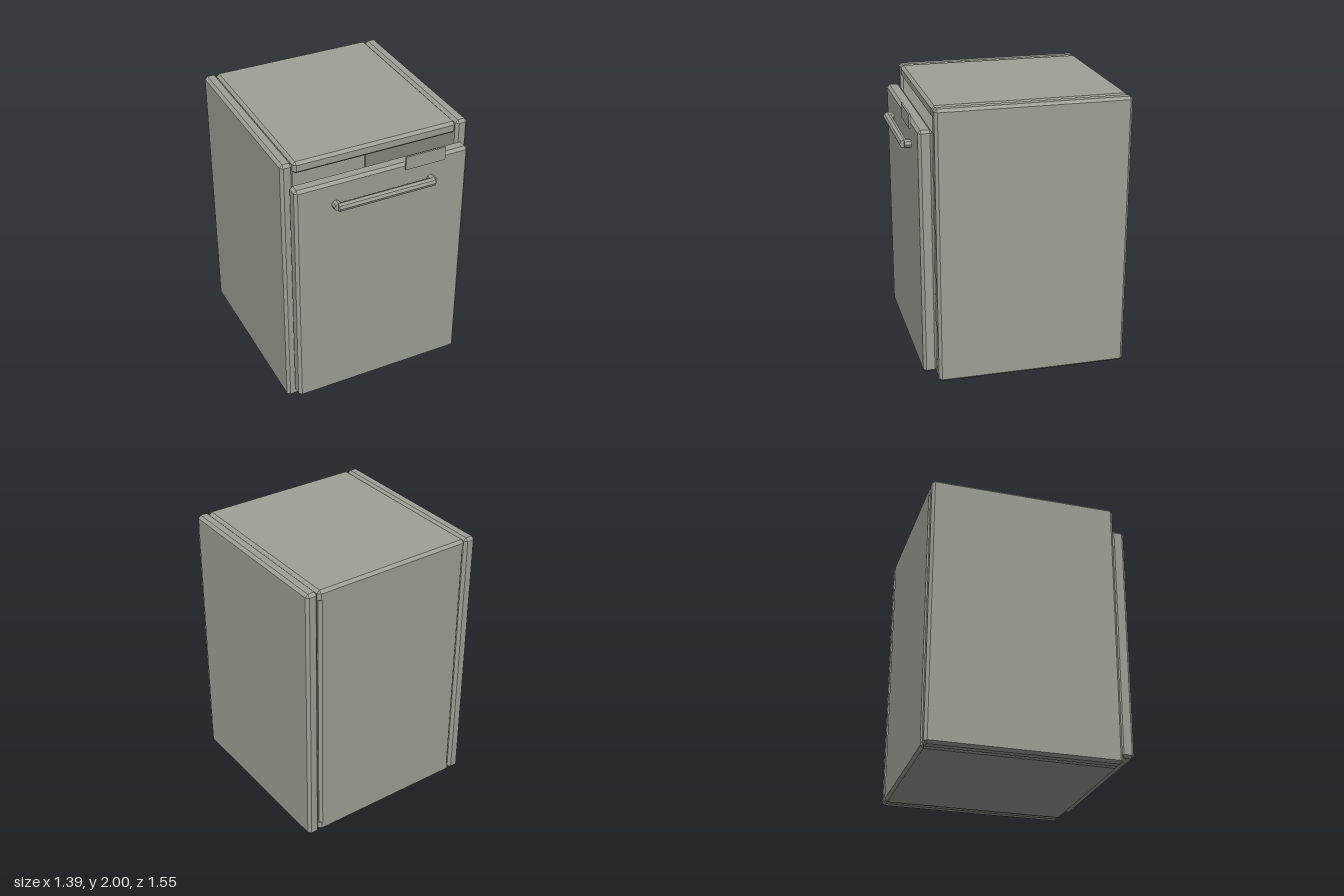
import * as THREE from 'three';
import { ConvexGeometry } from 'three/addons/geometries/ConvexGeometry.js';

// Box between two corners with every edge chamfered by c
function chamferBox(x0, x1, y0, y1, z0, z1, c = 0.02) {
  const h = [(x1 - x0) / 2, (y1 - y0) / 2, (z1 - z0) / 2];
  const pts = [];
  for (const sx of [-1, 1]) for (const sy of [-1, 1]) for (const sz of [-1, 1]) {
    for (let full = 0; full < 3; full++) {
      const p = [sx, sy, sz].map((s, i) => s * (i === full ? h[i] : h[i] - c));
      pts.push(new THREE.Vector3(...p));
    }
  }
  const geo = new ConvexGeometry(pts);
  geo.translate((x0 + x1) / 2, (y0 + y1) / 2, (z0 + z1) / 2);
  return geo;
}

export function createModel() {
  const model = new THREE.Group();
  model.name = 'cabinet';
  const paint = new THREE.MeshStandardMaterial({ color: 0x9ea196 });
  paint.name = 'grey green paint';
  const metal = paint.clone();
  metal.name = 'grey green metal';
  metal.flatShading = true;

  const add = (name, geo, mat = paint, parent = model) => {
    const mesh = new THREE.Mesh(geo, mat);
    mesh.name = name;
    parent.add(mesh);
    return mesh;
  };

  // Hollow carcass
  const back = -0.777, front = 0.597;
  add('leftSide', chamferBox(0.607, 0.697, 0, 2, back, front));
  add('rightSide', chamferBox(-0.697, -0.607, 0, 2, back, front));
  add('topPanel', chamferBox(-0.607, 0.607, 1.912, 2, back, front));
  add('bottomPanel', chamferBox(-0.607, 0.607, 0, 0.088, back, front));
  add('backPanel', chamferBox(-0.6, 0.6, 0, 2, back, back + 0.088));

  // Door
  add('door', chamferBox(-0.648, 0.648, 0.065, 1.85, 0.6, 0.7));

  // Handle: octagonal bar on two octagonal posts
  const handle = new THREE.Group();
  handle.name = 'handle';
  model.add(handle);
  const rod = (length) => new THREE.CylinderGeometry(0.03, 0.03, length, 8);
  const bar = add('handleBar', rod(0.72).rotateZ(Math.PI / 2), metal, handle);
  bar.position.set(0, 1.68, 0.747);
  for (const s of [-1, 1]) {
    const post = add(s > 0 ? 'leftPost' : 'rightPost', rod(0.055).rotateX(Math.PI / 2), metal, handle);
    post.position.set(s * 0.357, 1.68, 0.718);
  }

  // Thin name plate in front of the door's top edge
  const plate = add('plate', new THREE.BoxGeometry(0.3, 0.1, 0.014));
  plate.position.set(0.3, 1.864, 0.719);
  return model;
}
